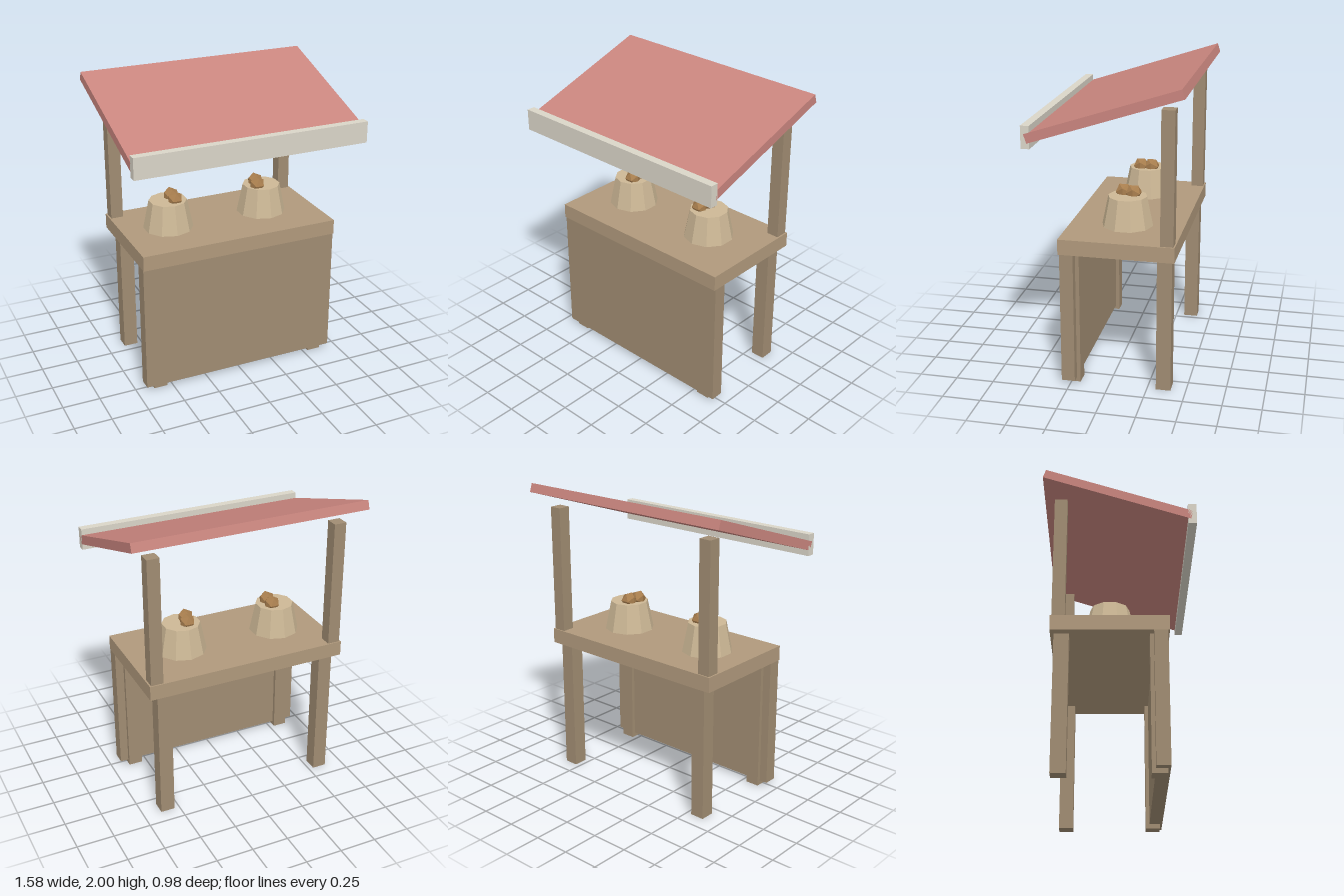
import * as THREE from 'three';

const mat = (color) => new THREE.MeshStandardMaterial({ color, flatShading: true });

export function createModel() {
  const stall = new THREE.Group();
  stall.name = 'marketStall';
  const wood = mat(0xa08c72);
  const topWood = mat(0xb0997c);
  const red = mat(0xc9857e);
  const cream = mat(0xdad5c8);
  const tan = mat(0xcdb896);
  const nut = mat(0xa87e4e);

  const add = (name, geometry, material, x, y, z, parent = stall) => {
    const mesh = new THREE.Mesh(geometry, material);
    mesh.name = name;
    mesh.position.set(x, y, z);
    parent.add(mesh);
    return mesh;
  };
  // Box given by its lower and upper corners
  const box = (name, material, [x0, y0, z0], [x1, y1, z1]) =>
    add(name, new THREE.BoxGeometry(x1 - x0, y1 - y0, z1 - z0), material,
      (x0 + x1) / 2, (y0 + y1) / 2, (z0 + z1) / 2);

  // Counter
  box('counterTop', topWood, [-0.685, 0.9, -0.425], [0.685, 1.0, 0.312]);
  box('frontPanel', wood, [-0.685, 0.03, 0.215], [0.685, 0.9, 0.302]);

  // Legs and roof posts, mirrored
  for (const s of [-1, 1]) {
    const side = s > 0 ? 'left' : 'right';
    const leg = new THREE.BoxGeometry(0.095, 0.9, 0.095);
    add(side + 'FrontLeg', leg, wood, s * 0.582, 0.45, 0.238);
    add(side + 'BackLeg', leg, wood, s * 0.582, 0.45, -0.355);
    add(side + 'RoofPost', new THREE.BoxGeometry(0.083, 0.85, 0.083), wood, s * 0.633, 1.425, -0.375);
  }

  // Sloping roof with a valance along its front edge
  const roof = add('roof', new THREE.BoxGeometry(1.58, 0.06, 0.996), red, 0, 1.817, -0.008);
  roof.rotation.x = 0.317;
  box('valance', cream, [-0.79, 1.6, 0.438], [0.79, 1.742, 0.492]);

  // Ten-sided tubs, each with a pair of goods on top
  const tubs = [
    { x: -0.37, goods: [[0.035, 0.042], [0.035, -0.033]] },
    { x: 0.315, goods: [[-0.048, 0.036], [-0.03, -0.033]] },
  ];
  for (const { x, goods } of tubs) {
    const group = new THREE.Group();
    group.name = 'tubOfGoods';
    group.position.set(x, 1, -0.057);
    stall.add(group);
    add('tub', new THREE.CylinderGeometry(0.127, 0.167, 0.195, 10), tan, 0, 0.0975, 0, group);
    for (const [gx, gz] of goods) {
      const good = add('good', new THREE.IcosahedronGeometry(0.055, 0), nut, gx, 0.208, gz, group);
      good.rotation.y = Math.PI / 2;
    }
  }
  return stall;
}
